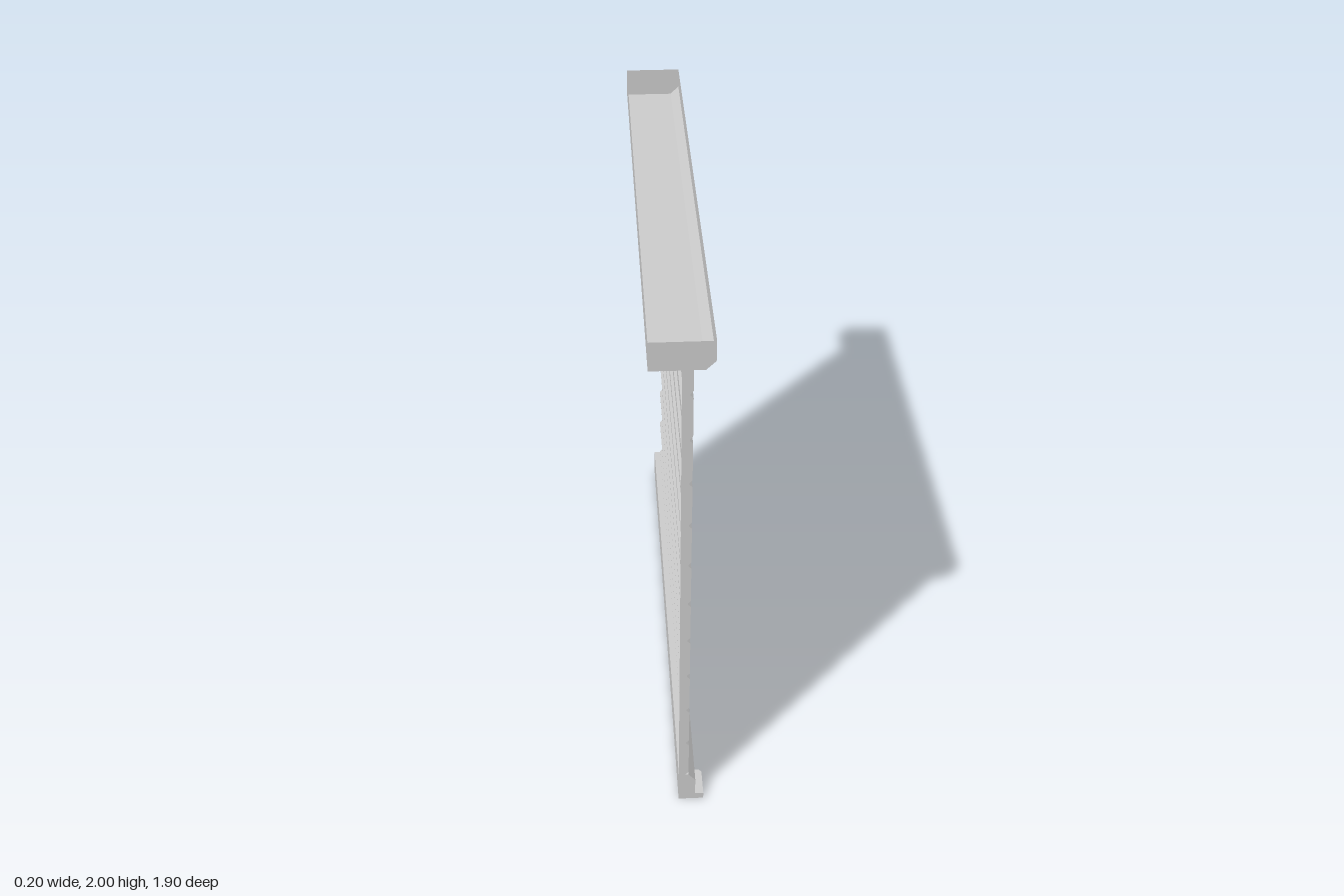
import * as THREE from 'three';

const HALF = 0.95; // half the door width, along z
const material = new THREE.MeshStandardMaterial({ color: 0xcccccc, side: THREE.DoubleSide, flatShading: true });

function add(parent, geometry, name) {
  const mesh = new THREE.Mesh(geometry, material);
  mesh.name = name;
  parent.add(mesh);
  return mesh;
}

const shapeOf = (points) => new THREE.Shape(points.map(([x, y]) => new THREE.Vector2(x, y)));

// Thin open sheet: an x/y profile swept along the door width
function sheet(points) {
  const pos = [];
  for (let i = 0; i < points.length - 1; i++) {
    const [ax, ay] = points[i], [bx, by] = points[i + 1];
    pos.push(ax, ay, HALF, ax, ay, -HALF, bx, by, -HALF);
    pos.push(ax, ay, HALF, bx, by, -HALF, bx, by, HALF);
  }
  const g = new THREE.BufferGeometry();
  g.setAttribute('position', new THREE.Float32BufferAttribute(pos, 3));
  g.computeVertexNormals();
  return g;
}

// Flat end plate in the x/y plane
const endPlate = (points, z) => new THREE.ShapeGeometry(shapeOf(points)).translate(0, 0, z);

export function createModel() {
  const door = new THREE.Group();
  door.name = 'rollerDoor';

  // Headbox: open-topped tray with a chamfered lower front edge
  const headbox = new THREE.Group();
  headbox.name = 'headbox';
  door.add(headbox);
  const tray = [[-0.1, 2], [-0.1, 1.9], [0.07, 1.9], [0.1, 1.93], [0.1, 2]];
  add(headbox, sheet(tray), 'headboxTray');
  for (const side of [1, -1]) {
    add(headbox, endPlate(tray, side * HALF), side > 0 ? 'headboxFrontEnd' : 'headboxBackEnd');
  }

  // Slatted curtain: flat slats parted by V grooves
  const slats = [[0.035, 1.9]];
  for (let i = 0; i < 11; i++) {
    const y = 1.813 - i * 0.1682;
    slats.push([0.035, y + 0.014], [0.025, y + 0.002], [0.025, y - 0.003], [0.035, y - 0.013]);
  }
  add(door, sheet(slats), 'slatCurtain');

  // End strip closing the curtain on one side
  add(door, endPlate([[0, 0.12], [0, 1.9], ...slats], HALF), 'curtainEndStrip');

  // Solid bottom rail with a sloped top edge
  const rail = [[0, 0], [0.06, 0], [0.06, 0.1], [0.035, 0.13], [0, 0.13]];
  add(door, new THREE.ExtrudeGeometry(shapeOf(rail), { depth: 2 * HALF, bevelEnabled: false })
    .translate(0, 0, -HALF), 'bottomRail');

  // Feet at both ends, the inner outside corner cut off
  for (const side of [1, -1]) {
    const plan = shapeOf([[0.06, -0.95], [0.09, -0.95], [0.09, -0.85], [0.08, -0.84], [0.06, -0.84]]
      .map(([x, z]) => [x, z * side]));
    add(door, new THREE.ExtrudeGeometry(plan, { depth: 0.026, bevelEnabled: false })
      .rotateX(-Math.PI / 2), side > 0 ? 'frontFoot' : 'backFoot');
  }
  return door;
}
